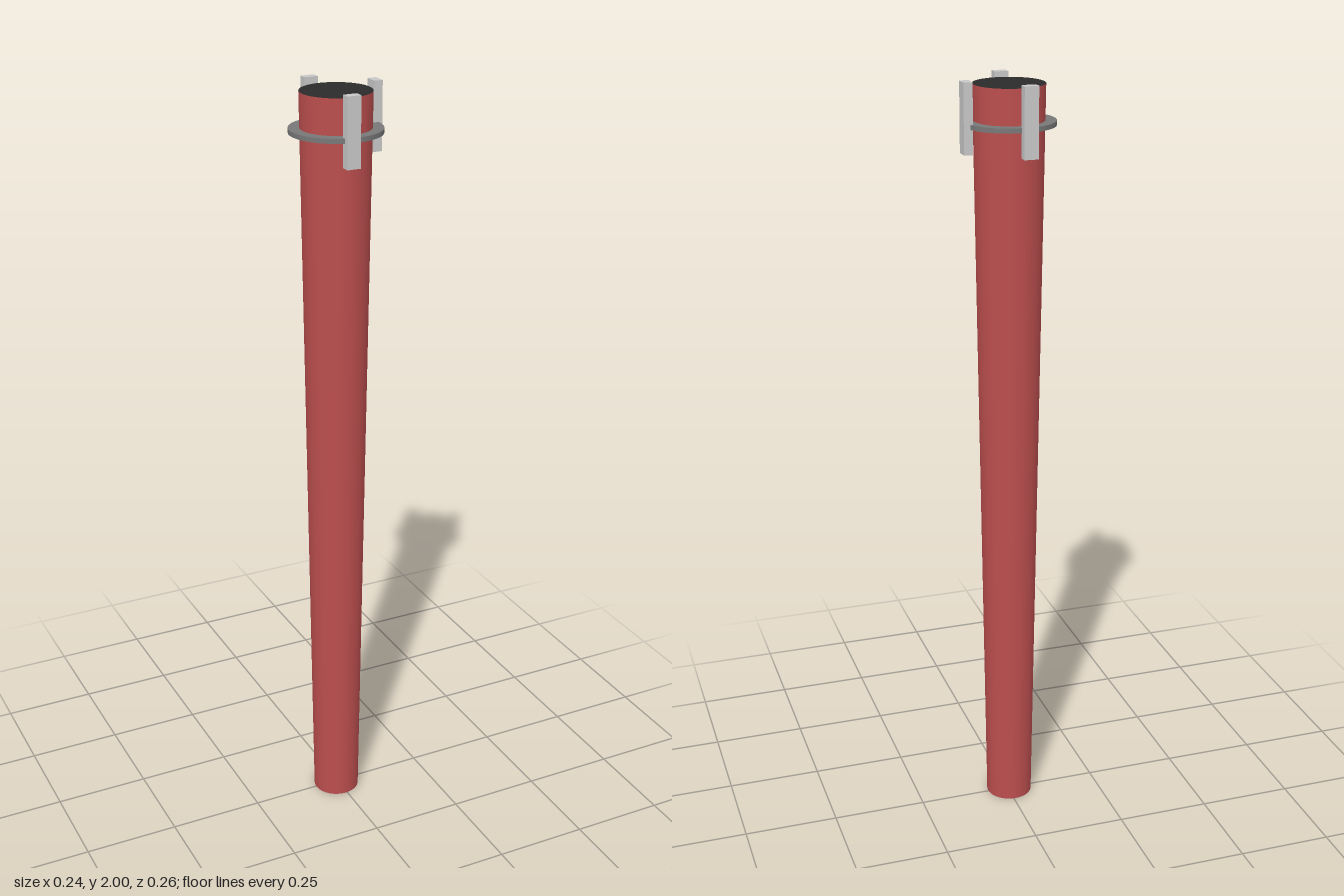
import * as THREE from 'three';

const red = new THREE.MeshStandardMaterial({ color: 0xbc4e4e, side: THREE.DoubleSide });
red.name = 'red';
const black = new THREE.MeshStandardMaterial({ color: 0x2b2b2b });
black.name = 'black';
const grey = new THREE.MeshStandardMaterial({ color: 0x787878 });
grey.name = 'grey';
const silver = new THREE.MeshStandardMaterial({ color: 0xc8c8c8 });
silver.name = 'silver';

export function createModel() {
  const model = new THREE.Group();
  const cx = -0.005, cz = 0.003; // axis of the tapered column

  function add(name, geometry, material, x, y, z) {
    const mesh = new THREE.Mesh(geometry, material);
    mesh.name = name;
    mesh.position.set(x, y, z);
    model.add(mesh);
    return mesh;
  }

  // Tapered column, open at the foot
  add('column', new THREE.CylinderGeometry(0.09, 0.062, 1.988, 48, 1, true), red, cx, 0.994, cz);

  // Dark cap closing the top
  const cap = new THREE.CircleGeometry(0.09, 48).rotateX(-Math.PI / 2);
  add('topCap', cap, black, cx, 1.988, cz);

  // Flat collar around the upper column
  const outline = new THREE.Shape().absarc(0, 0, 0.1165, 0, Math.PI * 2);
  outline.holes.push(new THREE.Path().absarc(0, 0, 0.087, 0, Math.PI * 2, true));
  const collar = new THREE.ExtrudeGeometry(outline, { depth: 0.012, bevelEnabled: false, curveSegments: 48 });
  add('collar', collar.rotateX(-Math.PI / 2), grey, cx, 1.887, cz);

  // Three upright panels on the collar: front, back and left
  const panels = [
    ['frontPanel', -0.018, 0.116, 0],
    ['backPanel', -0.018, -0.12, 0],
    ['leftPanel', 0.11, -0.017, Math.PI / 2],
  ];
  for (const [name, x, z, turn] of panels) {
    const panel = add(name, new THREE.BoxGeometry(0.036, 0.174, 0.023), silver, x, 1.913, z);
    panel.rotation.y = turn;
  }

  return model;
}
